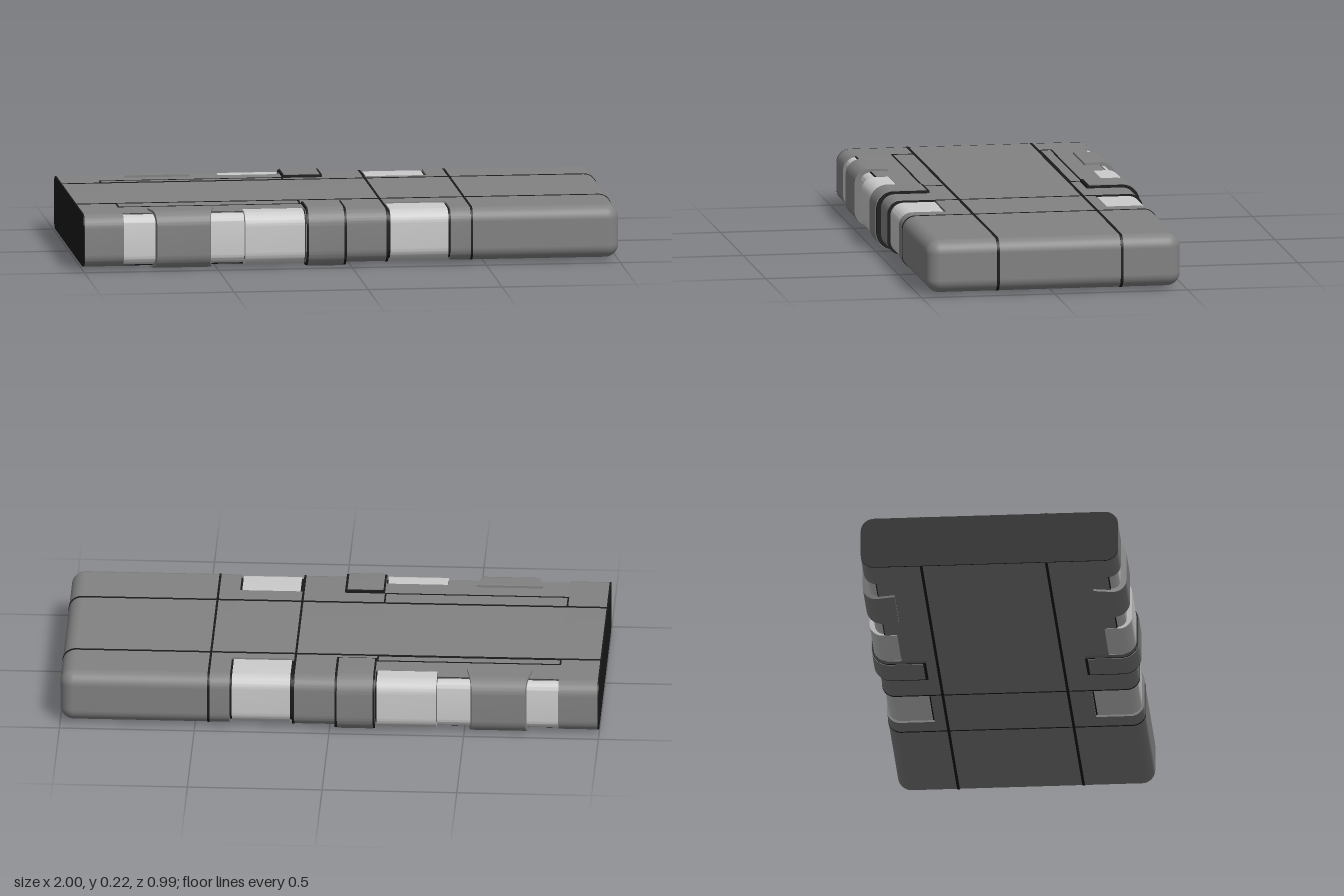
import * as THREE from 'three';
import { toCreasedNormals } from 'three/addons/utils/BufferGeometryUtils.js';
import { RoundedBoxGeometry } from 'three/addons/geometries/RoundedBoxGeometry.js';

const Y0 = 0.012, Y1 = 0.21, Z = 0.478, R = 0.05;

export function createModel() {
  const root = new THREE.Group();
  const shell = new THREE.MeshStandardMaterial({ color: 0x828282 });
  const light = new THREE.MeshStandardMaterial({ color: 0xcccccc });
  const black = new THREE.MeshStandardMaterial({ color: 0x1a1a1a });

  function add(name, geometry, material) {
    const mesh = new THREE.Mesh(geometry, material);
    mesh.name = name;
    root.add(mesh);
    return mesh;
  }

  // Box given by its limits
  function block(name, x0, x1, y0, y1, z0, z1, material) {
    const g = new THREE.BoxGeometry(x1 - x0, y1 - y0, z1 - z0);
    g.translate((x0 + x1) / 2, (y0 + y1) / 2, (z0 + z1) / 2);
    return add(name, g, material);
  }

  // Profile that is square at a and rounded at b
  function profile(a, b, y0, y1, r) {
    const s = new THREE.Shape();
    s.moveTo(a, y0);
    s.lineTo(b - r, y0);
    s.absarc(b - r, y0 + r, r, -Math.PI / 2, 0);
    s.absarc(b - r, y1 - r, r, 0, Math.PI / 2);
    s.lineTo(a, y1);
    s.closePath();
    return s;
  }

  // Matching pair of bands wrapped round the two long edges
  function bands(name, x0, x1, zIn, zOut, y0, y1, r, material, rule) {
    for (const side of [1, -1]) {
      let g = new THREE.ExtrudeGeometry(profile(zIn, zOut, y0, y1, r),
        { depth: x1 - x0, bevelEnabled: false, curveSegments: 8 });
      g.rotateY(-side * Math.PI / 2);
      g.translate(side > 0 ? x1 : x0, 0, 0);
      if (rule) {
        const p = g.attributes.position;
        for (let i = 0; i < p.count; i++) p.setX(i, rule(p.getX(i), Math.abs(p.getZ(i))));
      }
      g = toCreasedNormals(g, 0.6);
      add(name + (side > 0 ? 'Front' : 'Back'), g, material);
    }
  }

  // Main body: full-width sections joined by narrower recessed cores
  for (const [x0, x1] of [[-0.995, -0.85], [-0.17, 0.134], [0.37, 0.45]])
    bands('body', x0, x1, 0, Z, Y0, Y1, R, shell);
  block('recessedCore', -0.85, -0.4, Y0, Y1, -0.43, 0.43, shell);
  block('recessedCore', -0.4, -0.17, Y0, Y1, -0.385, 0.385, shell);
  block('panelCore', 0.134, 0.37, Y0, Y1, -0.3, 0.3, shell);
  bands('flatEnd', -1, -0.995, 0, Z, Y0, Y1, R, black);

  // Rounded end
  const end = new RoundedBoxGeometry(0.62, Y1 - Y0, Z * 2, 6, R);
  end.translate(0.69, (Y0 + Y1) / 2, 0);
  add('roundedEnd', end, shell);

  // Cross seams running all the way round
  for (const x of [0.134, 0.449])
    bands('crossSeam', x - 0.004, x + 0.004, 0, Z + 0.0015, Y0 - 0.0015, Y1 + 0.0015, R, black);

  // Lengthwise seams, following the rounded end
  for (const z of [0.211, -0.254]) {
    const g = new THREE.ExtrudeGeometry(profile(-1, 1.0015, Y0 - 0.0015, Y1 + 0.0015, R),
      { depth: 0.01, bevelEnabled: false, curveSegments: 8 });
    g.translate(0, 0, z - 0.005);
    add('lengthSeam', g, black);
  }

  // Outlined slots on the top
  for (const [z0, z1] of [[0.209, 0.298], [-0.306, -0.257]]) {
    const rect = (path, d) => {
      path.moveTo(-0.852 + d, -z0 - d);
      path.lineTo(-0.852 + d, -z1 + d);
      path.lineTo(-0.168 - d, -z1 + d);
      path.lineTo(-0.168 - d, -z0 - d);
      path.closePath();
      return path;
    };
    const s = rect(new THREE.Shape(), 0);
    s.holes.push(rect(new THREE.Path(), 0.006));
    const g = new THREE.ExtrudeGeometry(s, { depth: 0.003, bevelEnabled: false });
    g.rotateX(-Math.PI / 2);
    g.translate(0, Y1 - 0.0015, 0);
    add('slotOutline', g, black);
  }

  // Light strips and grips in the recessed edges, with dark gaps behind
  bands('stripLiner', -0.85, -0.4, 0.42, 0.434, Y0 + 0.001, Y1 - 0.001, 0.004, black);
  bands('edgeStrip', -0.85, -0.4, 0.42, 0.468, 0.018, 0.205, 0.035, light);
  bands('gripLiner', -0.405, -0.168, 0.37, 0.46, 0.018, 0.204, 0.04, black);
  bands('grip', -0.398, -0.176, 0.383, 0.488, Y0, 0.209, 0.05, light);

  // Light panels by the rounded end
  bands('panelLiner', 0.134, 0.37, 0.295, 0.462, 0.02, 0.202, 0.045, black);
  bands('panel', 0.146, 0.362, 0.306, 0.471, 0.016, 0.207, 0.048, light);

  // Raised collars with dark edges
  bands('collarEdge', -0.168, -0.02, 0.296, 0.495, 0.002, 0.219, 0.065, black);
  bands('collar', -0.162, -0.029, 0.306, 0.497, 0, 0.222, 0.066, shell);

  // Tapered clips, wider toward the middle of the body
  bands('clip', -0.75, -0.506, 0.37, 0.49, 0.004, 0.218, 0.055, shell, (x, z) => {
    const taper = 1 - 0.19 * Math.min(1, (z - 0.37) / 0.12);
    return -0.628 + (x + 0.628) * taper;
  });

  return root;
}
